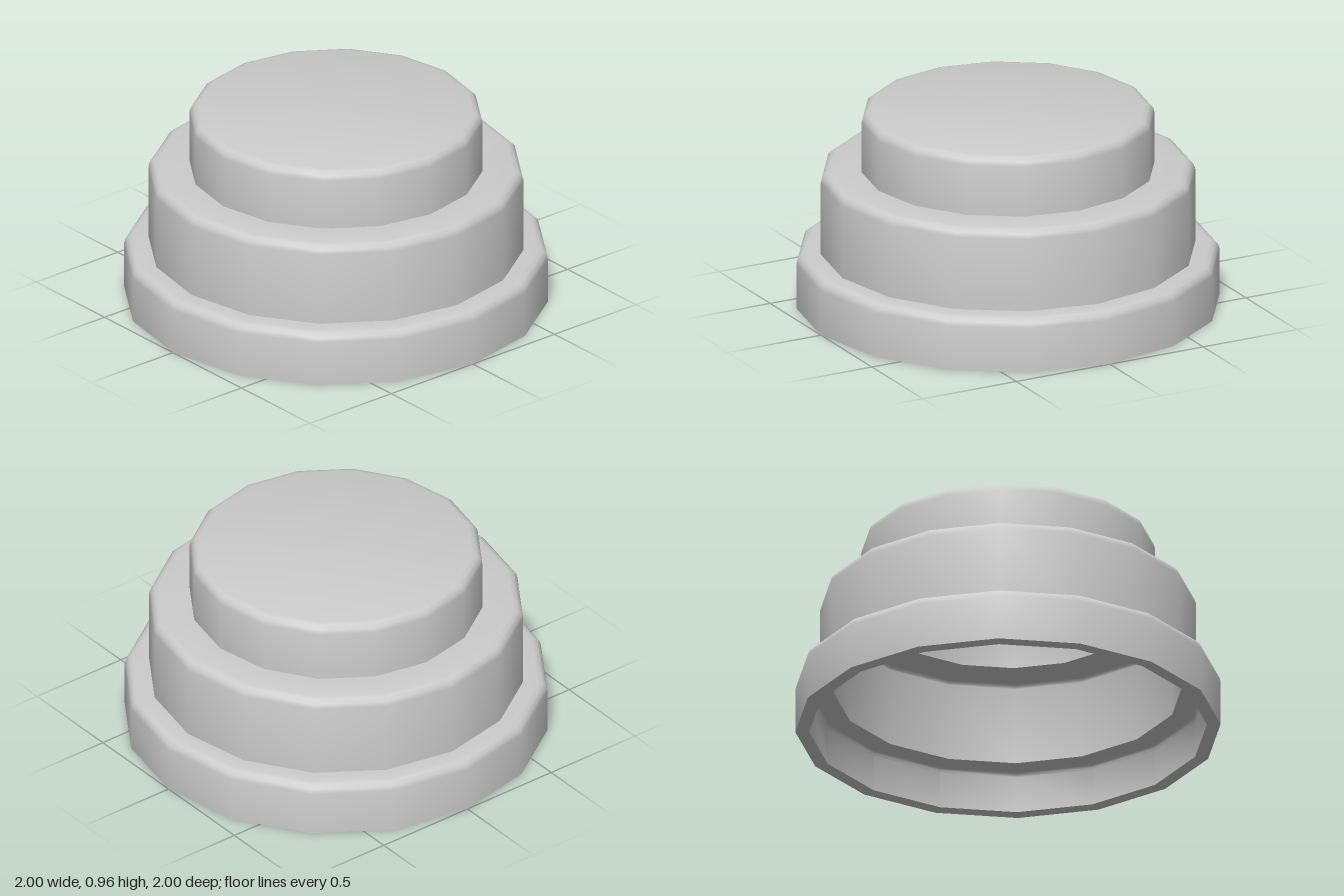
import * as THREE from 'three';
import { toCreasedNormals } from 'three/addons/utils/BufferGeometryUtils.js';

const SIDES = 16;
const WALL = 0.065;
// radius and top height of each tier, from the base up
const TIERS = [[1, 0.265], [0.885, 0.668], [0.692, 0.96]];

// Stepped profile from the base to the axis, each tier's top edge rounded
function steppedProfile(inset, bevel) {
  const points = [];
  let bottom = 0;
  for (const [radius, height] of TIERS) {
    const r = radius - inset, top = height - inset;
    points.push(new THREE.Vector2(r, bottom));
    for (let i = 0; i <= 3; i++) {
      const a = (i / 3) * Math.PI / 2;
      points.push(new THREE.Vector2(
        r - bevel + bevel * Math.cos(a),
        top - bevel + bevel * Math.sin(a)
      ));
    }
    bottom = top;
  }
  points.push(new THREE.Vector2(0, bottom));
  return points;
}

export function createModel() {
  const group = new THREE.Group();
  group.name = 'steppedCap';
  const material = new THREE.MeshStandardMaterial({ color: 0xcccccc });

  const addLathe = (name, points) => {
    const geometry = toCreasedNormals(new THREE.LatheGeometry(points, SIDES), 0.8);
    const mesh = new THREE.Mesh(geometry, material);
    mesh.name = name;
    group.add(mesh);
  };

  // Outside of the three tiers
  addLathe('outerShell', steppedProfile(0, 0.045));
  // Hollow inside, running down so that it faces inward
  addLathe('innerShell', steppedProfile(WALL, 0.02).reverse());
  // Flat ring closing the wall at the bottom
  addLathe('baseRim', [new THREE.Vector2(1 - WALL, 0), new THREE.Vector2(1, 0)]);

  return group;
}
